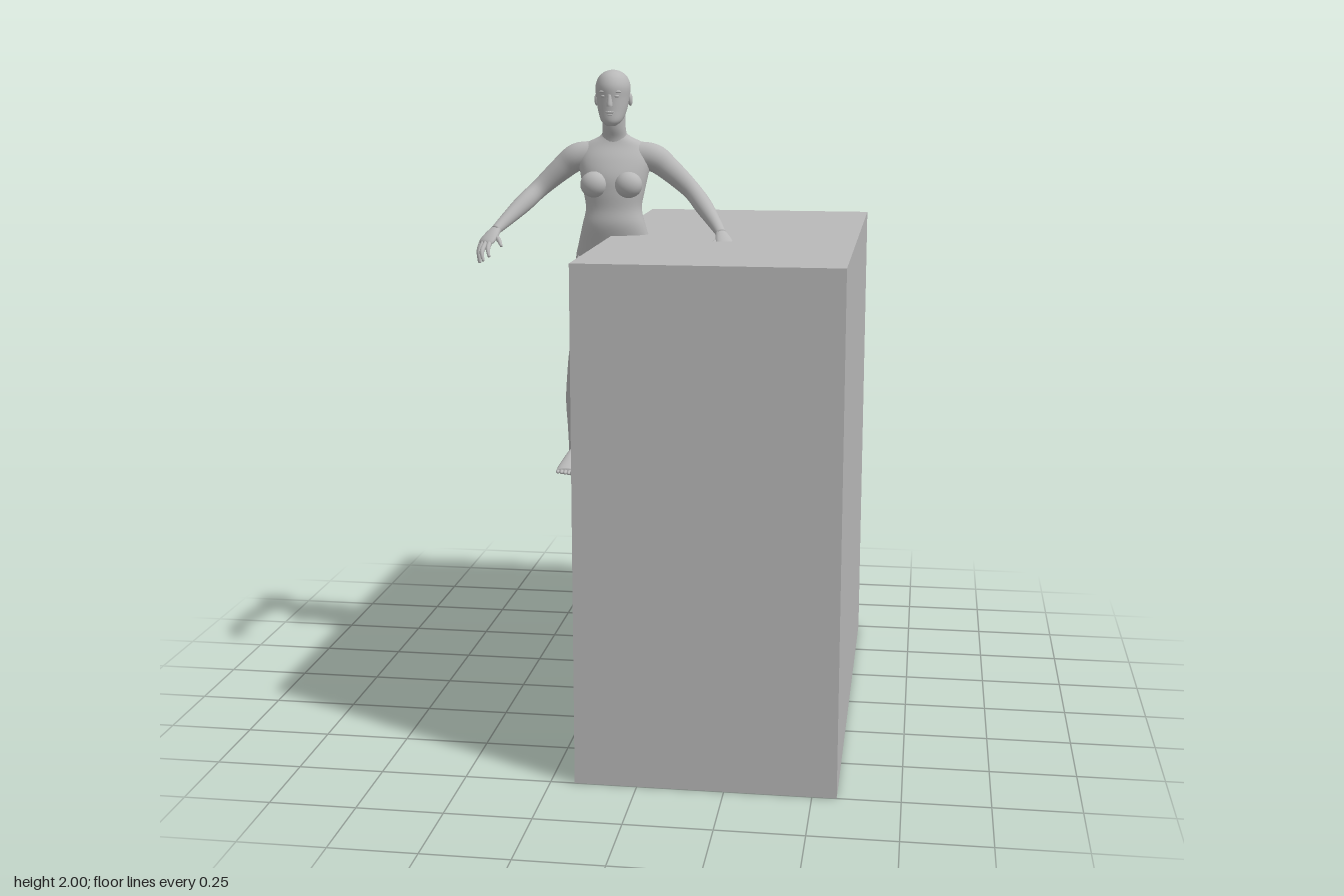
import * as THREE from 'three';

const grey = new THREE.MeshStandardMaterial({ color: 0xb8b8b8 });
grey.name = 'plain grey';

const UP = new THREE.Vector3(0, 1, 0);
const DOWN = new THREE.Vector3(0, -1, 0);
const FORWARD = new THREE.Vector3(0, 0, 1);

function catmull(a, b, c, d, t) {
  return 0.5 * (2 * b + (c - a) * t + (2 * a - 5 * b + 4 * c - d) * t * t + (3 * b - a - 3 * c + d) * t * t * t);
}

// Smooth closed skin through elliptical sections [x, y, z, radiusU, radiusV].
// With a fixed direction all rings are parallel, otherwise they follow the path.
function loft(name, sections, dir = null, sides = 24, steps = 5) {
  const rows = [];
  const last = sections.length - 1;
  for (let i = 0; i < last; i++) {
    const q = [i - 1, i, i + 1, i + 2].map(k => sections[Math.min(last, Math.max(0, k))]);
    for (let s = 0; s < steps; s++) {
      rows.push(q[0].map((_, k) => catmull(q[0][k], q[1][k], q[2][k], q[3][k], s / steps)));
    }
  }
  rows.push(sections[last]);
  const centres = rows.map(r => new THREE.Vector3(r[0], r[1], r[2]));
  const pos = [], index = [];
  rows.forEach((r, i) => {
    const t = dir ? dir.clone()
      : centres[Math.min(i + 1, rows.length - 1)].clone().sub(centres[Math.max(i - 1, 0)]).normalize();
    const u = Math.abs(t.y) > 0.99 ? new THREE.Vector3(1, 0, 0) : UP.clone().cross(t).normalize();
    const v = t.clone().cross(u);
    for (let j = 0; j < sides; j++) {
      const a = (j / sides) * Math.PI * 2;
      const p = centres[i].clone().addScaledVector(u, Math.cos(a) * r[3]).addScaledVector(v, Math.sin(a) * r[4]);
      pos.push(p.x, p.y, p.z);
    }
  });
  for (let i = 0; i < rows.length - 1; i++) {
    for (let j = 0; j < sides; j++) {
      const a = i * sides + j, b = i * sides + (j + 1) % sides;
      index.push(a, b, a + sides, b, b + sides, a + sides);
    }
  }
  // end caps
  const first = pos.length / 3, top = (rows.length - 1) * sides;
  pos.push(...centres[0].toArray(), ...centres[rows.length - 1].toArray());
  for (let j = 0; j < sides; j++) {
    const k = (j + 1) % sides;
    index.push(first, k, j, first + 1, top + j, top + k);
  }
  const geo = new THREE.BufferGeometry();
  geo.setAttribute('position', new THREE.Float32BufferAttribute(pos, 3));
  geo.setIndex(index);
  geo.computeVertexNormals();
  const mesh = new THREE.Mesh(geo, grey);
  mesh.name = name;
  return mesh;
}

function ellipsoid(name, x, y, z, rx, ry, rz) {
  const geo = new THREE.SphereGeometry(1, 20, 14).scale(rx, ry, rz);
  const mesh = new THREE.Mesh(geo, grey);
  mesh.name = name;
  mesh.position.set(x, y, z);
  return mesh;
}

function makeHead() {
  const head = new THREE.Group();
  head.name = 'head';
  head.add(loft('skull', [
    [0, 1.833, 0.073, 0.014, 0.016],
    [0, 1.848, 0.063, 0.032, 0.035],
    [0, 1.88, 0.046, 0.044, 0.052],
    [0, 1.915, 0.038, 0.05, 0.061],
    [0, 1.95, 0.035, 0.053, 0.066],
    [0, 1.978, 0.034, 0.043, 0.054],
    [0, 1.994, 0.034, 0.024, 0.031],
    [0, 2.0, 0.034, 0.002, 0.002],
  ], UP));
  head.add(loft('neck', [
    [0, 1.75, -0.005, 0.06, 0.045],
    [0, 1.79, 0.008, 0.042, 0.034],
    [0, 1.825, 0.022, 0.036, 0.032],
    [0, 1.88, 0.028, 0.036, 0.036],
  ], UP));
  head.add(loft('nose', [
    [0, 1.892, 0.098, 0.01, 0.012],
    [0, 1.9, 0.098, 0.009, 0.012],
    [0, 1.928, 0.096, 0.005, 0.005],
  ], UP, 12));
  head.add(ellipsoid('upper lip', 0, 1.874, 0.095, 0.014, 0.004, 0.006));
  head.add(ellipsoid('lower lip', 0, 1.867, 0.093, 0.012, 0.004, 0.006));
  for (const s of [-1, 1]) {
    head.add(ellipsoid('ear', s * 0.052, 1.91, 0.028, 0.007, 0.019, 0.012));
    head.add(ellipsoid('eye', s * 0.019, 1.922, 0.09, 0.009, 0.005, 0.007));
    head.add(ellipsoid('brow', s * 0.02, 1.935, 0.089, 0.014, 0.005, 0.008));
  }
  return head;
}

function makeTorso() {
  const torso = new THREE.Group();
  torso.name = 'torso';
  torso.add(loft('trunk', [
    [0, 1.34, -0.002, 0.06, 0.045],
    [0, 1.375, -0.002, 0.12, 0.06],
    [0, 1.42, 0.004, 0.126, 0.064],
    [0, 1.47, 0.018, 0.114, 0.062],
    [0, 1.53, 0.033, 0.098, 0.061],
    [0, 1.58, 0.033, 0.087, 0.058],
    [0, 1.63, 0.028, 0.095, 0.065],
    [0, 1.68, 0.02, 0.105, 0.07],
    [0, 1.73, 0.008, 0.114, 0.062],
    [0, 1.77, 0, 0.1, 0.046],
    [0, 1.795, 0.004, 0.052, 0.034],
    [0, 1.81, 0.012, 0.034, 0.028],
  ], UP, 32));
  for (const s of [-1, 1]) {
    torso.add(ellipsoid('breast', s * 0.053, 1.655, 0.078, 0.043, 0.04, 0.036));
    torso.add(ellipsoid('buttock', s * 0.052, 1.4, -0.018, 0.062, 0.062, 0.052));
    torso.add(ellipsoid('shoulder blade', s * 0.065, 1.715, -0.022, 0.042, 0.055, 0.032));
  }
  return torso;
}

function makeArm(s, name) {
  const arm = new THREE.Group();
  arm.name = name;
  const path = (part, pts, sides) => arm.add(loft(part, pts.map(p => [s * p[0], ...p.slice(1)]), null, sides));
  path('arm skin', [
    [0.07, 1.738, 0.004, 0.036, 0.044],
    [0.12, 1.732, 0.002, 0.04, 0.043],
    [0.165, 1.7, 0, 0.034, 0.037],
    [0.235, 1.638, 0.008, 0.027, 0.029],
    [0.28, 1.592, 0.052, 0.027, 0.028],
    [0.325, 1.543, 0.113, 0.02, 0.02],
    [0.347, 1.518, 0.15, 0.016, 0.014],
  ], 24);
  path('palm', [
    [0.343, 1.523, 0.143, 0.015, 0.013],
    [0.355, 1.505, 0.168, 0.025, 0.013],
    [0.365, 1.488, 0.19, 0.027, 0.01],
    [0.368, 1.482, 0.196, 0.022, 0.006],
  ], 16);
  // four fingers and a thumb: root, joint, tip
  const digits = [
    [[0.382, 1.49, 0.175], [0.39, 1.46, 0.19], [0.387, 1.425, 0.2]],
    [[0.375, 1.488, 0.185], [0.382, 1.458, 0.215], [0.379, 1.427, 0.223]],
    [[0.365, 1.487, 0.192], [0.371, 1.462, 0.228], [0.364, 1.435, 0.24]],
    [[0.354, 1.488, 0.192], [0.353, 1.47, 0.225], [0.346, 1.448, 0.24]],
    [[0.343, 1.503, 0.165], [0.325, 1.492, 0.195], [0.313, 1.478, 0.218]],
  ];
  digits.forEach((d, i) => path(i < 4 ? 'finger' : 'thumb',
    d.map((p, k) => [...p, [0.008, 0.007, 0.004][k], [0.008, 0.007, 0.004][k]]), 10));
  return arm;
}

function makeLeg(s, name) {
  const leg = new THREE.Group();
  leg.name = name;
  const part = (label, pts, dir) => leg.add(loft(label, pts.map(p => [s * p[0], ...p.slice(1)]), dir));
  part('leg skin', [
    [0.066, 1.43, 0.002, 0.056, 0.06],
    [0.071, 1.34, 0, 0.067, 0.066],
    [0.088, 1.21, 0.005, 0.052, 0.058],
    [0.11, 1.12, 0.01, 0.04, 0.045],
    [0.12, 1.07, 0.01, 0.035, 0.04],
    [0.127, 0.97, -0.004, 0.037, 0.042],
    [0.134, 0.88, -0.002, 0.025, 0.03],
    [0.138, 0.81, 0, 0.018, 0.022],
    [0.139, 0.772, 0, 0.019, 0.024],
  ], DOWN);
  part('foot', [
    [0.139, 0.77, -0.033, 0.008, 0.01],
    [0.139, 0.773, -0.02, 0.018, 0.022],
    [0.139, 0.781, 0.015, 0.02, 0.03],
    [0.14, 0.776, 0.055, 0.026, 0.024],
    [0.142, 0.765, 0.1, 0.032, 0.014],
    [0.142, 0.761, 0.122, 0.03, 0.009],
  ], FORWARD);
  for (let i = 0; i < 5; i++) {
    const r = i === 0 ? 0.009 : 0.007;
    leg.add(ellipsoid('toe', s * (0.118 + i * 0.0125), 0.759, 0.134 - i * 0.005, r, r, 0.018));
  }
  return leg;
}

export function createModel() {
  const model = new THREE.Group();
  model.name = 'figure and block';

  const block = new THREE.Mesh(new THREE.BoxGeometry(0.75, 1.5, 1.5), grey);
  block.name = 'block';
  block.position.set(0.195, 0.75, 0);
  model.add(block);

  const figure = new THREE.Group();
  figure.name = 'figure';
  figure.position.x = -0.181;
  figure.add(makeHead(), makeTorso());
  for (const [s, side] of [[1, 'left'], [-1, 'right']]) {
    figure.add(makeArm(s, side + ' arm'), makeLeg(s, side + ' leg'));
  }
  model.add(figure);
  return model;
}
